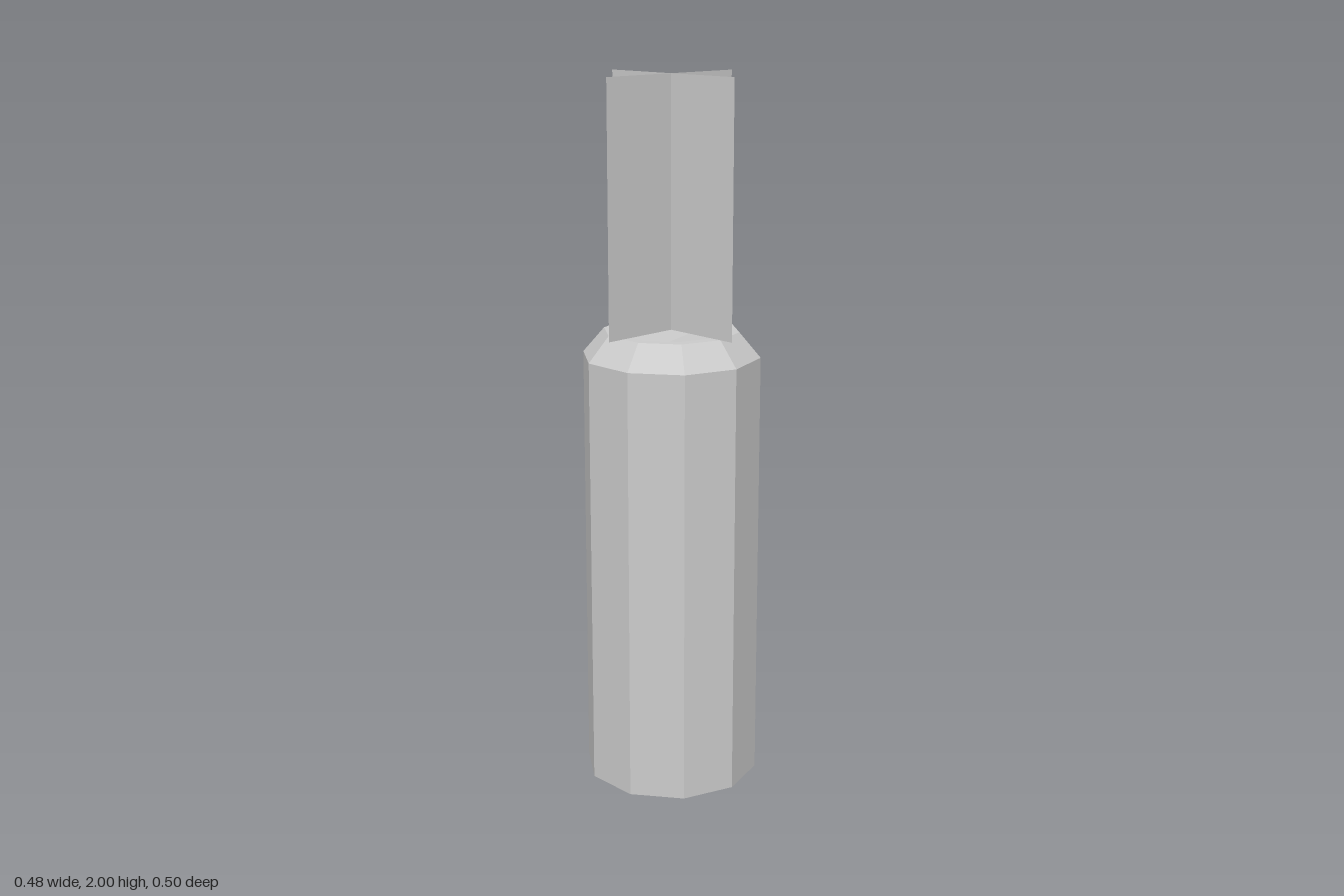
import * as THREE from 'three';

const RIM_Y = 1.305;

export function createModel() {
  const model = new THREE.Group();
  const wax = new THREE.MeshStandardMaterial({ color: 0xcccccc, flatShading: true });
  const sheet = new THREE.MeshStandardMaterial({ color: 0xcccccc, side: THREE.DoubleSide });

  // Ten-sided candle: base, wall, bevel, rim and shallow melted bowl
  const floorRadius = 0.132;
  const profile = [
    [0, 0], [0.25, 0], [0.25, 1.235], [0.19, RIM_Y],
    [0.158, RIM_Y], [floorRadius, RIM_Y - 0.03], [0, RIM_Y - 0.03],
  ].map(([r, y]) => new THREE.Vector2(r, y));
  const geometry = new THREE.LatheGeometry(profile, 10);

  // Shift the bowl floor sideways and fold it gently along a diagonal crease
  const pos = geometry.attributes.position;
  for (let i = 0; i < pos.count; i++) {
    if (i % profile.length < 5) continue;
    const x = pos.getX(i), z = pos.getZ(i);
    const fromCrease = Math.abs(0.31 * x + 0.95 * z);
    pos.setX(i, x + 0.011);
    pos.setY(i, RIM_Y - 0.03 + 0.11 * fromCrease);
  }
  geometry.computeVertexNormals();
  const candle = new THREE.Mesh(geometry, wax);
  candle.name = 'candleBody';
  model.add(candle);

  // Flame: two crossed upright sheets
  const flame = new THREE.Group();
  flame.name = 'flame';
  const height = 2 - RIM_Y;
  for (const [name, angle] of [['flameSheetAcross', 0], ['flameSheetDeep', Math.PI / 2]]) {
    const plane = new THREE.Mesh(new THREE.PlaneGeometry(0.465, height), sheet);
    plane.name = name;
    plane.position.y = RIM_Y + height / 2;
    plane.rotation.y = angle;
    flame.add(plane);
  }
  model.add(flame);
  return model;
}
